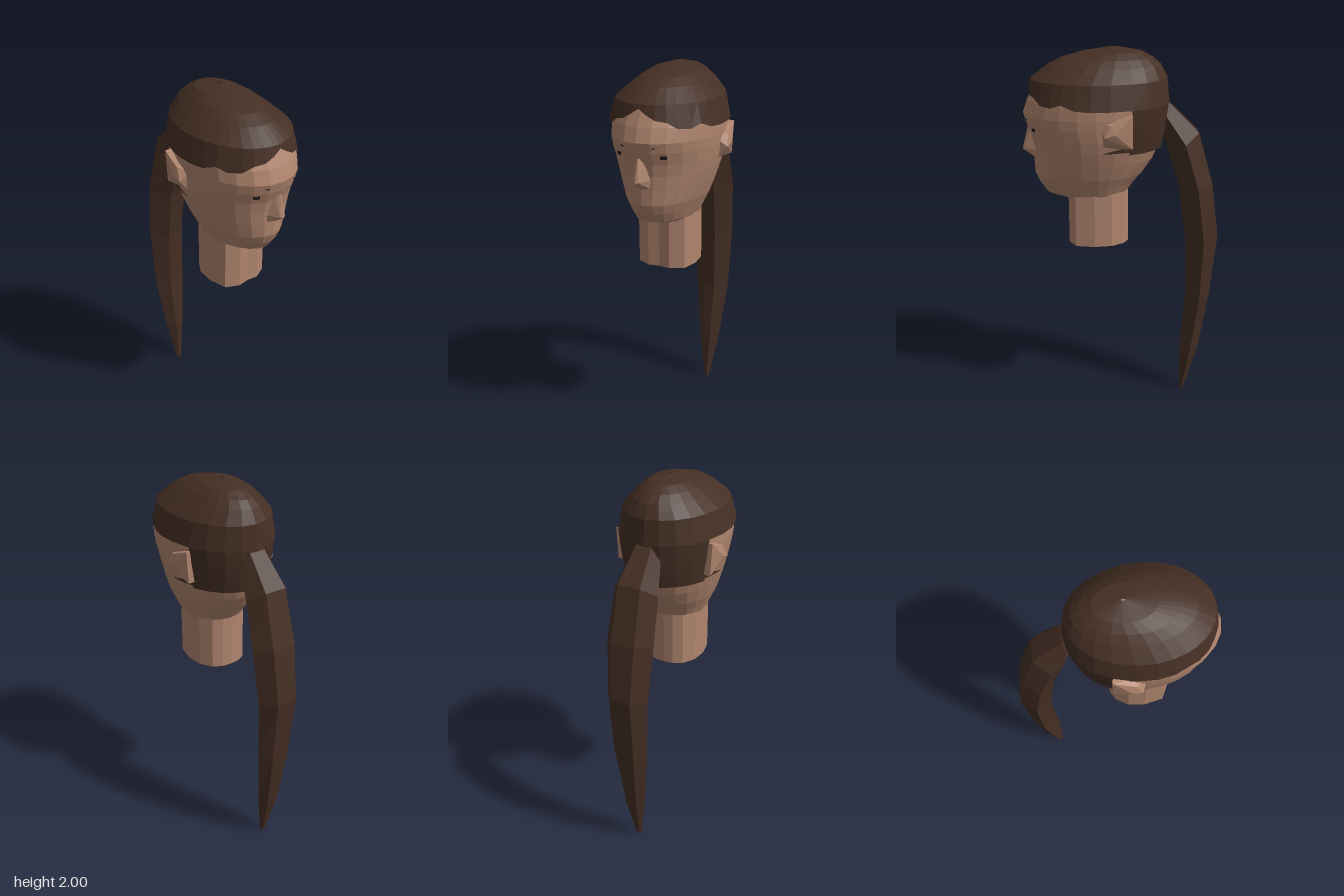
import * as THREE from 'three';
import { ConvexGeometry } from 'three/addons/geometries/ConvexGeometry.js';

const { lerp, degToRad } = THREE.MathUtils;

// Cross-sections: [y, front z, back z, half width, z of widest point]
const HEAD = [
  [1.22, 0.30, 0.0, 0.13, 0.13], [1.25, 0.40, -0.03, 0.15, 0.13], [1.30, 0.435, -0.065, 0.172, 0.13],
  [1.35, 0.457, -0.11, 0.195, 0.13], [1.43, 0.46, -0.165, 0.222, 0.13], [1.50, 0.463, -0.195, 0.243, 0.13],
  [1.56, 0.474, -0.215, 0.257, 0.13], [1.62, 0.497, -0.225, 0.265, 0.14], [1.67, 0.51, -0.228, 0.27, 0.14],
  [1.74, 0.485, -0.228, 0.272, 0.14], [1.82, 0.445, -0.21, 0.25, 0.13], [1.90, 0.32, -0.16, 0.16, 0.1],
];
const HAIR = [
  [1.48, 0.47, -0.21, 0.252, 0.13], [1.60, 0.49, -0.235, 0.272, 0.13], [1.74, 0.49, -0.25, 0.287, 0.14],
  [1.79, 0.482, -0.247, 0.283, 0.14], [1.845, 0.467, -0.235, 0.255, 0.13], [1.91, 0.38, -0.2, 0.187, 0.1],
  [1.945, 0.31, -0.16, 0.147, 0.08], [1.975, 0.2, -0.105, 0.1, 0.05], [2.0, 0.05, 0.03, 0.004, 0.04],
];

// Point on a sectioned body at height y; angle 0 is the front, 90 the model's left
function surface(table, y, angle) {
  let i = 0;
  while (i < table.length - 2 && y > table[i + 1][0]) i++;
  const [a, b] = [table[i], table[i + 1]];
  const t = (y - a[0]) / (b[0] - a[0]);
  const [, front, back, half, mid] = a.map((v, k) => lerp(v, b[k], t));
  const c = Math.cos(degToRad(angle));
  return [half * Math.sin(degToRad(angle)), y, mid + c * (c > 0 ? front - mid : mid - back)];
}

// Faceted skin over rows of points, listed from bottom to top
function skinRows(rows, capEnds = false) {
  const out = [];
  for (let r = 0; r + 1 < rows.length; r++) {
    for (let i = 0; i + 1 < rows[r].length; i++) {
      const [a, b, c, d] = [rows[r][i], rows[r][i + 1], rows[r + 1][i + 1], rows[r + 1][i]];
      out.push(...a, ...b, ...c, ...a, ...c, ...d);
    }
  }
  if (capEnds) {
    const low = rows[0], top = rows[rows.length - 1];
    for (let i = 1; i + 2 < low.length; i++) {
      out.push(...low[0], ...low[i + 1], ...low[i], ...top[0], ...top[i], ...top[i + 1]);
    }
  }
  const g = new THREE.BufferGeometry();
  g.setAttribute('position', new THREE.Float32BufferAttribute(out, 3));
  g.computeVertexNormals();
  return g;
}

const range = (from, to, n) => Array.from({ length: n + 1 }, (_, i) => lerp(from, to, i / n));

export function createModel() {
  const skin = new THREE.MeshStandardMaterial({ color: 0xb0856e, flatShading: true });
  const neckSkin = skin.clone();
  neckSkin.side = THREE.DoubleSide;
  const hair = new THREE.MeshStandardMaterial({ color: 0x452f24, flatShading: true, side: THREE.DoubleSide });
  const dark = new THREE.MeshStandardMaterial({ color: 0x1c1412, side: THREE.DoubleSide });
  skin.name = neckSkin.name = 'skin';
  hair.name = 'dark brown hair';
  dark.name = 'eye dark';

  const model = new THREE.Group();
  model.name = 'headWithPonytail';
  const add = (name, geometry, material) => {
    const mesh = new THREE.Mesh(geometry, material);
    mesh.name = name;
    model.add(mesh);
    return mesh;
  };

  // Head
  const around = range(0, 360, 24);
  add('head', skinRows(HEAD.map(([y]) => around.map(a => surface(HEAD, y, a))), true), skin);

  // Neck: open tube with a flat front panel
  const halfNeck = [[0, 0.277], [0.06, 0.285], [0.13, 0.25], [0.15, 0.15], [0.14, 0.06], [0.1, -0.005], [0.05, -0.03], [0, -0.035]];
  const neckRing = [...halfNeck, ...halfNeck.slice(0, -1).reverse().map(([x, z]) => [-x, z])];
  add('neck', skinRows([0.97, 1.26].map(y => neckRing.map(([x, z]) => [x, y, z]))), neckSkin);

  // Nose
  const nose = [[0, 1.6, 0.487], [0, 1.475, 0.52], [0, 1.435, 0.465]];
  for (const s of [-1, 1]) nose.push([s * 0.02, 1.59, 0.47], [s * 0.048, 1.48, 0.455], [s * 0.045, 1.435, 0.445], [s * 0.015, 1.48, 0.512]);
  add('nose', new ConvexGeometry(nose.map(p => new THREE.Vector3(...p))), skin);

  for (const s of [-1, 1]) {
    const side = s > 0 ? 'left' : 'right';

    // Ear
    const ear = [[0.298, 1.61, 0.05], [0.296, 1.595, 0.1], [0.284, 1.655, 0.07], [0.272, 1.7, -0.04], [0.264, 1.55, 0.1],
      [0.262, 1.53, -0.04], [0.22, 1.7, -0.04], [0.23, 1.65, 0.13], [0.23, 1.53, 0.11], [0.2, 1.53, -0.04]];
    add(side + 'Ear', new ConvexGeometry(ear.map(([x, y, z]) => new THREE.Vector3(s * x, y, z))), skin);

    // Eye and small brow mark, laid on the face
    for (const [part, angle, y, w, h] of [['Eye', 27, 1.6, 0.034, 0.016], ['Brow', 18, 1.648, 0.02, 0.006]]) {
      const mark = add(side + part, new THREE.PlaneGeometry(w, h), dark);
      mark.position.set(...surface(HEAD, y, s * angle));
      mark.position.z += 0.003;
      mark.rotation.y = s * degToRad(angle * 1.1);
    }

    // Hair tuft below the ear, tapering forward
    const tuft = [0, 1].map(top => range(92, 120, 3).map((a, i) => surface(HAIR, 1.505 + top * i * 0.013, s * a)));
    add(side + 'HairTuft', skinRows(tuft), hair);
  }

  // Hair cap with a parted, uneven fringe: [angle, height of lower edge]
  const fringe = [[0, 1.825], [8, 1.8], [17, 1.775], [28, 1.765], [38, 1.735], [50, 1.73], [60, 1.75], [72, 1.725],
    [85, 1.72], [100, 1.72], [117, 1.72], [132, 1.72], [148, 1.72], [164, 1.72], [180, 1.72]];
  const hairline = [...fringe.slice(1).reverse().map(([a, y]) => [-a, y]), ...fringe];
  const levels = [null, 1.845, 1.88, 1.91, 1.945, 1.975, 2.0];
  add('hairCap', skinRows(levels.map(l => hairline.map(([a, y]) => surface(HAIR, l ?? y, a)))), hair);

  // Hair covering the back of the head, behind the ears
  add('hairNape', skinRows([1.49, 1.56, 1.64, 1.72].map(y => range(117, 243, 8).map(a => surface(HAIR, y, a)))), hair);

  // Ponytail: [outer z, outer y, inner z, inner y, half width], from the tip up
  const tail = [[-0.36, 0, -0.34, 0, 0.015], [-0.435, 0.28, -0.34, 0.28, 0.063], [-0.485, 0.62, -0.365, 0.6, 0.1],
    [-0.52, 0.98, -0.355, 0.94, 0.115], [-0.48, 1.28, -0.315, 1.24, 0.13], [-0.4, 1.56, -0.25, 1.45, 0.12],
    [-0.25, 1.71, -0.215, 1.57, 0.085], [-0.19, 1.74, -0.17, 1.6, 0.06]];
  const hex = [[0.35, 0], [1, 0.5], [0.5, 1], [-0.5, 1], [-1, 0.5], [-0.35, 0], [0.35, 0]];
  add('ponytail', skinRows(tail.map(([oz, oy, iz, iy, w]) =>
    hex.map(([x, t]) => [x * w, lerp(iy, oy, t), lerp(iz, oz, t)])), true), hair);

  return model;
}
